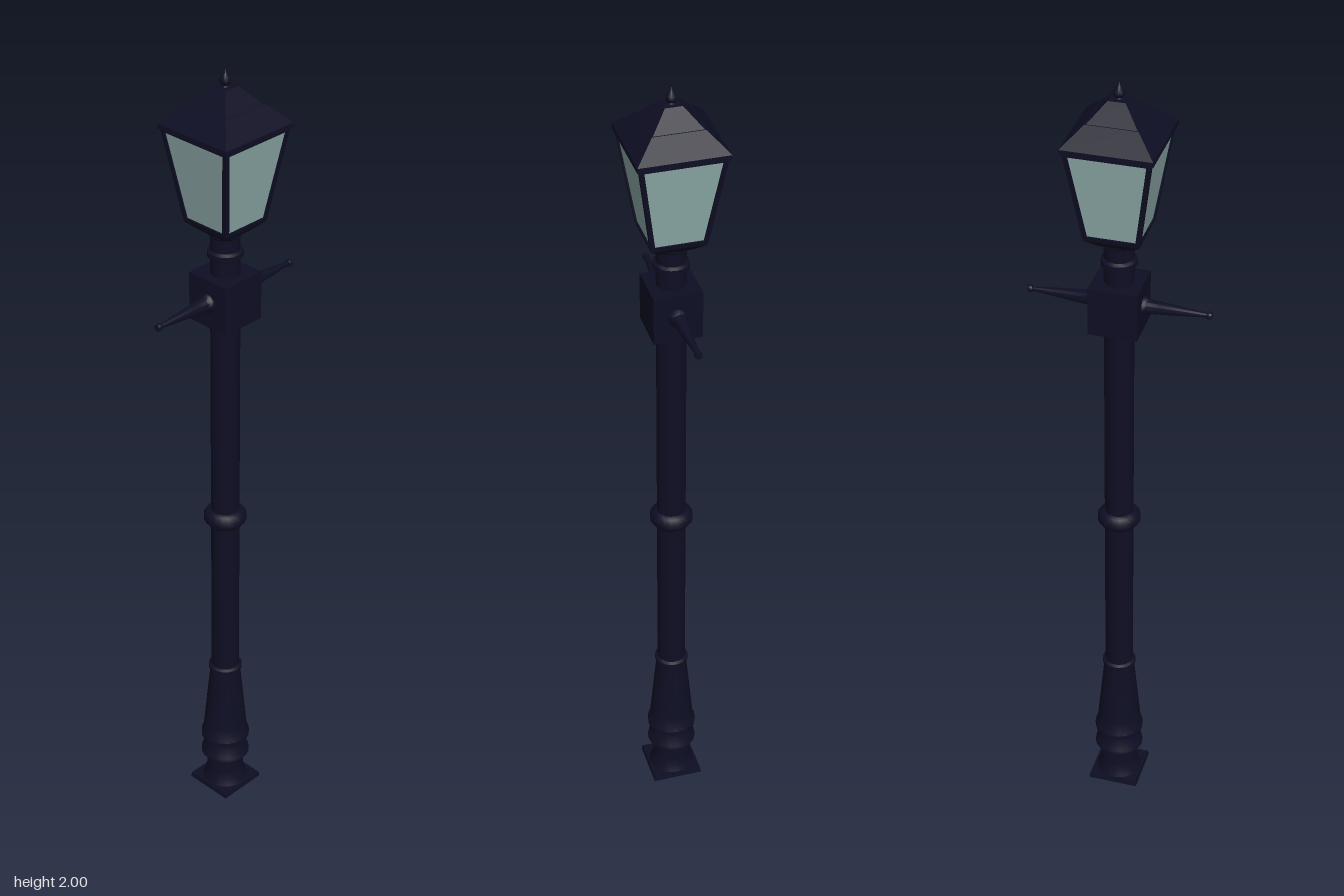
import * as THREE from 'three';
import { toCreasedNormals } from 'three/addons/utils/BufferGeometryUtils.js';

export function createModel() {
  const model = new THREE.Group();
  model.name = 'streetLamp';
  const iron = new THREE.MeshStandardMaterial({ color: 0x0e0e24 });
  iron.name = 'dark navy iron';
  const glass = new THREE.MeshStandardMaterial({ color: 0x8fadab });
  glass.name = 'pale green glass';

  const add = (name, geometry, material = iron, parent = model) => {
    const mesh = new THREE.Mesh(toCreasedNormals(geometry, 0.7), material);
    mesh.name = name;
    parent.add(mesh);
    return mesh;
  };
  // Turned part from [radius, height] pairs
  const turned = (points, sides = 20) =>
    new THREE.LatheGeometry(points.map(([r, y]) => new THREE.Vector2(r, y)), sides);
  // Square block whose half-width changes from bottom to top
  const square = (y0, half0, y1, half1) =>
    new THREE.CylinderGeometry(half1 * Math.SQRT2, half0 * Math.SQRT2, y1 - y0, 4)
      .rotateY(Math.PI / 4).translate(0, (y0 + y1) / 2, 0);

  // Base: square plate and turned pedestal
  add('basePlate', square(0, 0.064, 0.012, 0.062));
  add('pedestal', turned([
    [0, 0.012], [0.058, 0.012], [0.05, 0.03], [0.047, 0.05], [0.047, 0.09],
    [0.062, 0.098], [0.06, 0.108], [0.05, 0.122], [0.05, 0.145], [0.061, 0.15],
    [0.062, 0.162], [0.057, 0.17], [0.054, 0.2], [0.038, 0.37], [0.042, 0.374],
    [0.042, 0.382], [0.035, 0.386],
  ]));

  // Column, with a raised ring half way up
  add('column', turned([[0.035, 0.38], [0.035, 1.4]]));
  add('columnRing', turned([
    [0.035, 0.818], [0.044, 0.822], [0.052, 0.833], [0.052, 0.847], [0.044, 0.858], [0.035, 0.862],
  ]));

  // Junction block and ladder arms
  add('junctionBlock', square(1.39, 0.058, 1.51, 0.058));
  for (const side of [1, -1]) {
    const arm = new THREE.Group();
    arm.name = side > 0 ? 'leftArm' : 'rightArm';
    add('armBar', turned([
      [0.024, 0.055], [0.022, 0.064], [0.017, 0.07], [0.015, 0.1], [0.005, 0.208],
    ], 12), iron, arm);
    add('armTip', turned([
      [0, 0.206], [0.008, 0.206], [0.009, 0.209], [0.009, 0.214], [0.008, 0.217], [0, 0.217],
    ], 12), iron, arm);
    arm.rotation.z = -side * Math.PI / 2;
    arm.position.y = 1.452;
    model.add(arm);
  }

  // Neck under the lantern
  add('neck', turned([
    [0.035, 1.505], [0.035, 1.55], [0.042, 1.555], [0.042, 1.567], [0.035, 1.572],
    [0.035, 1.605], [0.04, 1.61], [0.04, 1.625],
  ]));

  // Lantern: cup, glass, rails and sloping corner bars
  const lantern = new THREE.Group();
  lantern.name = 'lantern';
  model.add(lantern);
  add('lanternCup', square(1.615, 0.04, 1.637, 0.064), iron, lantern);
  add('bottomRail', square(1.637, 0.064, 1.649, 0.067), iron, lantern);
  add('glassPanes', square(1.645, 0.062, 1.864, 0.097), glass, lantern);
  add('topRail', square(1.858, 0.1, 1.866, 0.101), iron, lantern);
  const barWidth = 0.011;
  for (const sx of [1, -1]) for (const sz of [1, -1]) {
    const bar = new THREE.BoxGeometry(barWidth, 0.22, barWidth);
    const p = bar.attributes.position;
    for (let i = 0; i < p.count; i++) {
      const offset = (p.getY(i) > 0 ? 0.1 : 0.066) - barWidth / 2;
      p.setX(i, p.getX(i) + sx * offset);
      p.setZ(i, p.getZ(i) + sz * offset);
    }
    add('cornerBar', bar.translate(0, 1.753, 0), iron, lantern);
  }

  // Two-tier hipped roof and finial
  add('roofEave', square(1.864, 0.105, 1.876, 0.105), iron, lantern);
  add('lowerRoof', square(1.876, 0.105, 1.92, 0.06), iron, lantern);
  add('upperRoof', square(1.915, 0.062, 1.962, 0.02), iron, lantern);
  add('finial', turned([
    [0.012, 1.958], [0.009, 1.966], [0.013, 1.973], [0.012, 1.98], [0.006, 1.989], [0, 2],
  ], 12), iron, lantern);
  return model;
}
